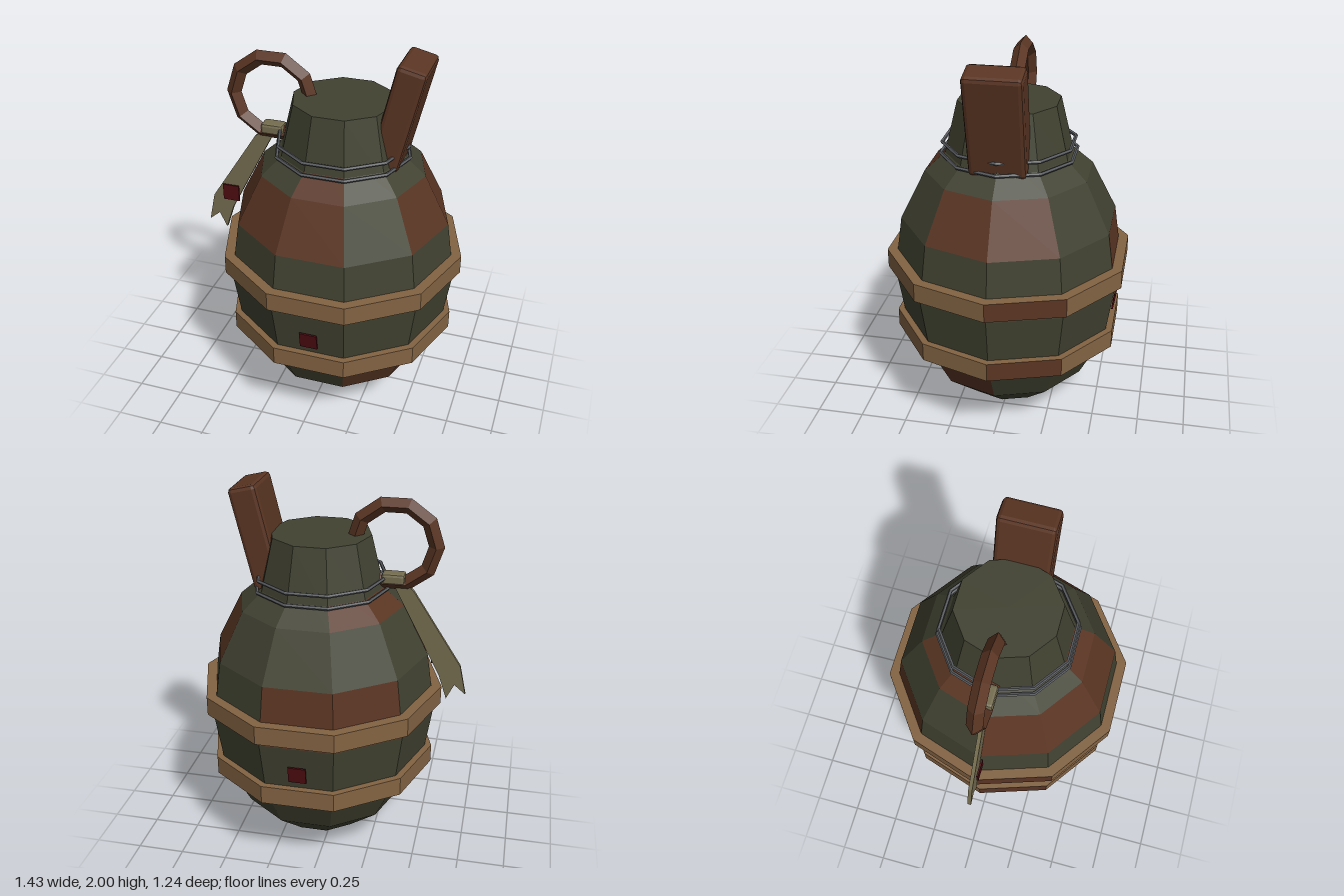
import * as THREE from 'three';
import { RoundedBoxGeometry } from 'three/addons/geometries/RoundedBoxGeometry.js';

const CX = 0.0625; // body axis
const SIDES = 10;

export function createModel() {
  const root = new THREE.Group();
  root.name = 'grenade';

  const mat = (name, color) => {
    const m = new THREE.MeshStandardMaterial({ color });
    m.name = name;
    return m;
  };
  const olive = mat('olive', 0x414231);
  const rust = mat('rust brown', 0x5a3523);
  const tan = mat('tan', 0x836342);
  const black = mat('black', 0x1a1a1c);
  const steel = mat('steel grey', 0x585b5f);
  const khaki = mat('khaki', 0x756d50);
  const red = mat('dark red', 0x4e0c11);

  // faceted copy of a geometry
  const facet = (geo) => {
    const g = geo.index ? geo.toNonIndexed() : geo;
    g.computeVertexNormals();
    return g;
  };
  const add = (name, geo, material, x = 0, y = 0, z = 0) => {
    const mesh = new THREE.Mesh(facet(geo), material);
    mesh.name = name;
    mesh.position.set(x, y, z);
    root.add(mesh);
    return mesh;
  };

  // ten-sided turned part; paint(row, side) picks a material index,
  // side 0 is centred 18 degrees from +x towards +z
  const turned = (name, profile, materials, paint) => {
    const pts = profile.map(([r, y]) => new THREE.Vector2(r, y));
    const geo = new THREE.LatheGeometry(pts, SIDES, Math.PI / 2);
    const rows = pts.length - 1;
    geo.clearGroups();
    for (let i = 0; i < SIDES; i++) {
      for (let j = 0; j < rows; j++) {
        geo.addGroup((i * rows + j) * 6, 6, paint(j, SIDES - 1 - i));
      }
    }
    return add(name, geo, materials, CX);
  };

  // egg-shaped body with camouflage panels
  const egg = [];
  for (let i = 0; i <= 8; i++) {
    const a = (i / 8) * Math.PI;
    egg.push([Math.max(0, 0.615 * Math.sin(a)), 0.805 - 0.805 * Math.cos(a)]);
  }
  const rustPanels = { 1: [2, 8], 2: [0, 1], 4: [6, 7], 5: [0, 2, 3, 4, 9], 6: [2, 5, 6] };
  turned('body', egg, [olive, rust, black], (row, side) => {
    if (row === 0) return 2;
    return rustPanels[row]?.includes(side) ? 1 : 0;
  });

  // neck
  turned('neck', [[0, 1.42], [0.34, 1.42], [0.262, 1.74], [0, 1.74]], [olive], () => 0);

  // two bands with a few rusty panels
  for (const [name, r, y] of [['upperBand', 0.65, 0.83], ['lowerBand', 0.613, 0.46]]) {
    const profile = [[0.5, y], [r, y], [r, y + 0.1], [0.5, y + 0.1]];
    turned(name, profile, [tan, rust], (row, side) => (row === 1 && (side === 4 || side === 9) ? 1 : 0));
  }

  // wire loops round the neck
  for (const [name, r, y] of [['lowerWire', 0.352, 1.465], ['upperWire', 0.342, 1.525]]) {
    const wire = new THREE.TorusGeometry(r, 0.01, 5, SIDES).rotateX(Math.PI / 2);
    add(name, wire, steel, CX, y);
  }

  // safety lever
  const lever = add('lever', new RoundedBoxGeometry(0.15, 0.545, 0.29, 1, 0.022), rust, 0.37, 1.72);
  lever.rotation.z = -0.235;

  // pull ring
  add('pullRing', new THREE.TorusGeometry(0.21, 0.04, 4, SIDES), rust, -0.315, 1.7);

  // ribbon with a notched end, and its knot
  const ribbon = new THREE.Shape([
    [-0.42, 1.46], [-0.68, 1.06], [-0.715, 0.9], [-0.655, 0.95],
    [-0.615, 0.865], [-0.57, 1.0], [-0.32, 1.48], [-0.36, 1.51],
  ].map(([x, y]) => new THREE.Vector2(x, y)));
  add('ribbon', new THREE.ExtrudeGeometry(ribbon, { depth: 0.02, bevelEnabled: false }), khaki, 0, 0, -0.01);
  add('knot', new RoundedBoxGeometry(0.12, 0.06, 0.08, 1, 0.015), khaki, -0.315, 1.522);

  // red patches on the front, the back and the ribbon
  const patch = (name, x, y, z, tilt) => {
    add(name, new THREE.BoxGeometry(0.092, 0.092, 0.009), red, x, y, z).rotation.x = tilt;
  };
  patch('frontPatch', CX, 0.648, 0.575, 0.146);
  patch('backPatch', CX, 0.648, -0.575, -0.146);
  patch('ribbonPatch', -0.57, 1.1, 0.022, 0);

  return root;
}
